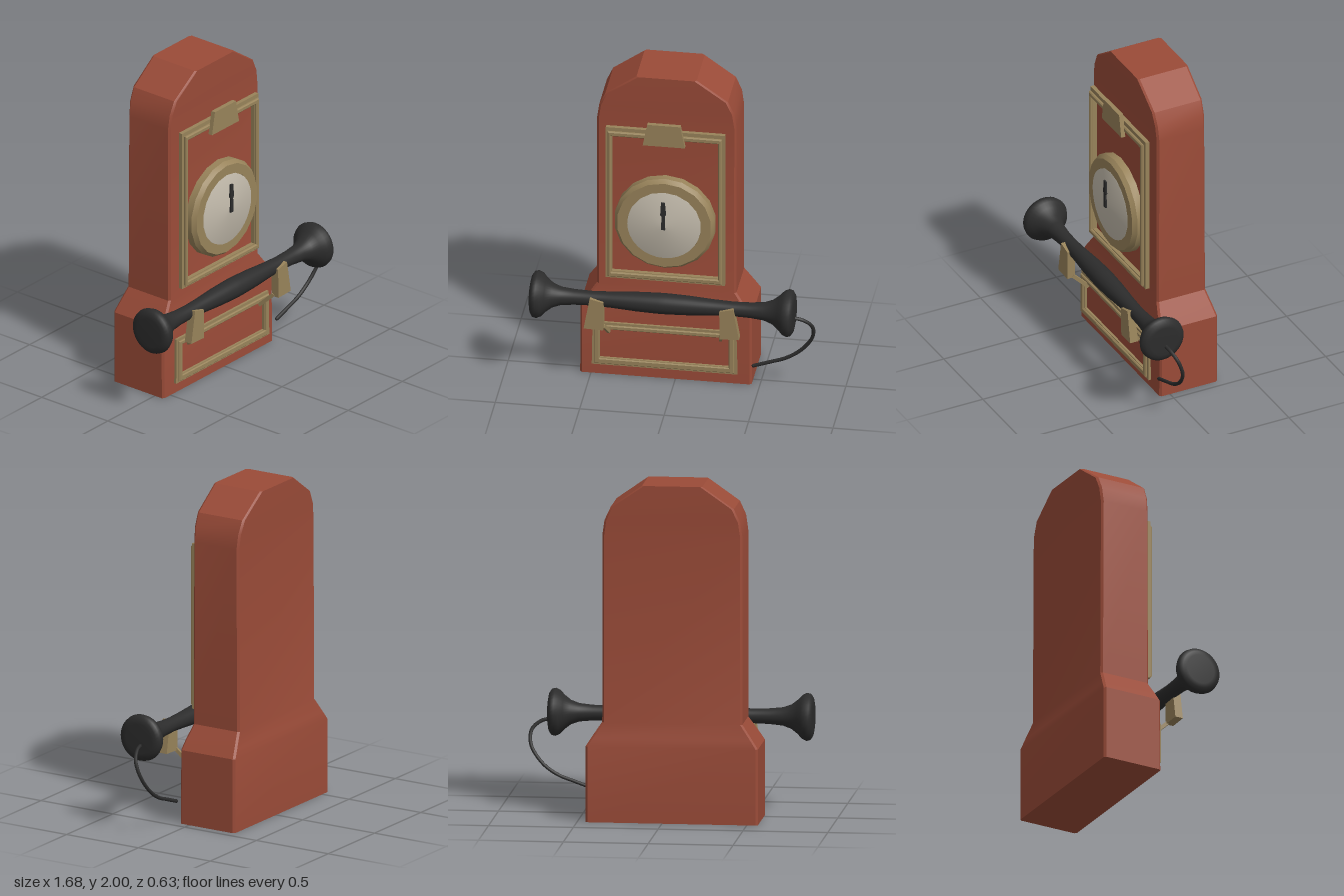
import * as THREE from 'three';
import { toCreasedNormals } from 'three/addons/utils/BufferGeometryUtils.js';

const CX = -0.057; // centre line of the case

function makeMaterial(name, color) {
  const m = new THREE.MeshStandardMaterial({ color });
  m.name = name;
  return m;
}

// Loft of chamfered rectangles; each row is [y, halfWidth, zFront, zBack]
function loft(rows, c) {
  const pos = [], index = [], n = 8;
  for (const [y, w, f, b] of rows) {
    const ring = [[w, f - c], [w - c, f], [c - w, f], [-w, f - c],
      [-w, b + c], [c - w, b], [w - c, b], [w, b + c]];
    ring.forEach(([x, z]) => pos.push(x, y, z));
  }
  for (let i = 0; i < rows.length - 1; i++) {
    for (let j = 0; j < n; j++) {
      const a = i * n + j, b = i * n + (j + 1) % n;
      index.push(a, a + n, b, b, a + n, b + n);
    }
  }
  const top = (rows.length - 1) * n;
  for (let j = 1; j < n - 1; j++) {
    index.push(0, j, j + 1, top, top + j + 1, top + j);
  }
  const g = new THREE.BufferGeometry();
  g.setAttribute('position', new THREE.Float32BufferAttribute(pos, 3));
  g.setIndex(index);
  return toCreasedNormals(g, 0.5);
}

const toVectors = (pts) => pts.map(([x, y]) => new THREE.Vector2(x, y));

// Plate from an outline, between z0 and z1, with an optional hole
function plate(outline, z0, z1, hole, bevel = 0) {
  const shape = new THREE.Shape(toVectors(outline));
  if (hole) shape.holes.push(new THREE.Path(toVectors(hole)));
  const g = new THREE.ExtrudeGeometry(shape, {
    depth: z1 - z0 - 2 * bevel, bevelEnabled: bevel > 0, bevelThickness: bevel,
    bevelSize: bevel, bevelOffset: -bevel, bevelSegments: 1,
  });
  return g.translate(0, 0, z0 + bevel);
}

const rect = (x0, y0, x1, y1) => [[x0, y0], [x1, y0], [x1, y1], [x0, y1]];

export function createModel() {
  const group = new THREE.Group();
  const red = makeMaterial('brick red', 0x9a4b38);
  const brass = makeMaterial('dull brass', 0x98835a);
  const black = makeMaterial('soft black', 0x2c2c2c);
  const silver = makeMaterial('warm silver', 0xc2baab);

  function add(name, geometry, material, parent = group) {
    const mesh = new THREE.Mesh(geometry, material);
    mesh.name = name;
    parent.add(mesh);
    return mesh;
  }

  // Case: wide base, sloped shoulder and rounded top
  add('case', loft([
    [0, 0.508, 0.065, -0.315],
    [0.45, 0.508, 0.062, -0.315],
    [0.5, 0.475, 0.054, -0.305],
    [0.59, 0.413, 0.035, -0.285],
    [1.7, 0.413, 0.033, -0.28],
    [1.79, 0.4, 0.036, -0.284],
    [1.87, 0.363, 0.039, -0.288],
    [2, 0.178, 0.041, -0.29],
  ], 0.012), red).position.x = CX;

  // Raised frames, each a wide moulding with a narrower lip on top
  const upper = [-0.375, 0.705, 0.258, 1.62];
  add('upperFrame', plate(rect(-0.41, 0.66, 0.295, 1.67), 0.055, 0.08, rect(...upper)), brass);
  add('upperFrameLip', plate(rect(-0.397, 0.675, 0.28, 1.65), 0.08, 0.1, rect(...upper), 0.006), brass);
  const lower = [-0.443, 0.127, 0.322, 0.325];
  add('lowerFrame', plate([[-0.49, 0.08], [0.372, 0.08], [0.365, 0.365], [-0.485, 0.365]],
    0.085, 0.1, rect(...lower)), brass);
  add('lowerFrameLip', plate(rect(-0.475, 0.093, 0.355, 0.352), 0.1, 0.115, rect(...lower), 0.005), brass);

  // Clip over the upper frame
  add('topClip', plate([[-0.185, 1.59], [0.065, 1.59], [0.037, 1.73], [-0.158, 1.73]],
    0.095, 0.122), brass);

  // Dial: ring, domed face and hand
  const dial = new THREE.Group();
  dial.name = 'dial';
  dial.position.set(CX, 1.066, 0);
  group.add(dial);
  const ring = new THREE.LatheGeometry(toVectors(
    [[0.3, 0.06], [0.3, 0.105], [0.28, 0.13], [0.22, 0.13], [0.22, 0.06]]), 18);
  add('dialRing', toCreasedNormals(ring.rotateX(Math.PI / 2), 0.5), brass, dial);
  const face = new THREE.LatheGeometry(toVectors([[0.217, 0.09], [0.217, 0.136], [0, 0.152]]), 32);
  add('dialFace', face.rotateX(Math.PI / 2), silver, dial);
  add('dialHand', plate([[-0.012, -0.01], [0.012, -0.01], [0.009, 0.08], [0.017, 0.09],
    [0.01, 0.17], [-0.012, 0.172], [-0.017, 0.09], [-0.009, 0.08]], 0.16, 0.17), black, dial);

  // Handset: one turned piece with flared ends
  const half = [[0.025, 0.062], [0.15, 0.058], [0.3, 0.048], [0.42, 0.043], [0.52, 0.046],
    [0.6, 0.054], [0.65, 0.072], [0.69, 0.103], [0.715, 0.13], [0.74, 0.141],
    [0.762, 0.136], [0.776, 0.115], [0.781, 0.09], [0.781, 0]];
  const profile = [...half.map(([x, r]) => [r, -x]).reverse(), ...half.map(([x, r]) => [r, x])];
  const handset = new THREE.LatheGeometry(toVectors(profile), 36).rotateZ(-Math.PI / 2);
  add('handset', handset, black).position.set(CX, 0.566, 0.177);

  // Cradle hooks with thin arms to the case, mirrored about the centre line
  for (const [side, s] of [['left', 1], ['right', -1]]) {
    const hook = [[0.345, 0.388], [0.46, 0.392], [0.425, 0.592], [0.343, 0.572]];
    const outline = hook.map(([x, y]) => [CX + s * x, y]);
    add(side + 'Hook', plate(outline, 0.187, 0.237), brass);
    const a = new THREE.Vector3(CX + s * 0.35, 0.4, 0.2);
    const b = new THREE.Vector3(CX + s * 0.33, 0.31, 0.105);
    const arm = add(side + 'HookArm', new THREE.BoxGeometry(0.018, 0.022, a.distanceTo(b)), brass);
    arm.position.copy(a).lerp(b, 0.5);
    arm.lookAt(b);
  }

  // Cord from the handset back to the case
  const cord = new THREE.CatmullRomCurve3([
    [0.71, 0.53, 0.167], [0.77, 0.513, 0.157], [0.82, 0.465, 0.135], [0.82, 0.38, 0.107],
    [0.75, 0.275, 0.088], [0.66, 0.21, 0.083], [0.56, 0.172, 0.082], [0.465, 0.138, 0.08],
  ].map((p) => new THREE.Vector3(...p)));
  add('cord', new THREE.TubeGeometry(cord, 40, 0.011, 8), black);
  for (const t of [0, 1]) {
    const cap = add('cordEnd', new THREE.SphereGeometry(0.011, 8, 6), black);
    cap.position.copy(cord.getPoint(t));
  }

  return group;
}
